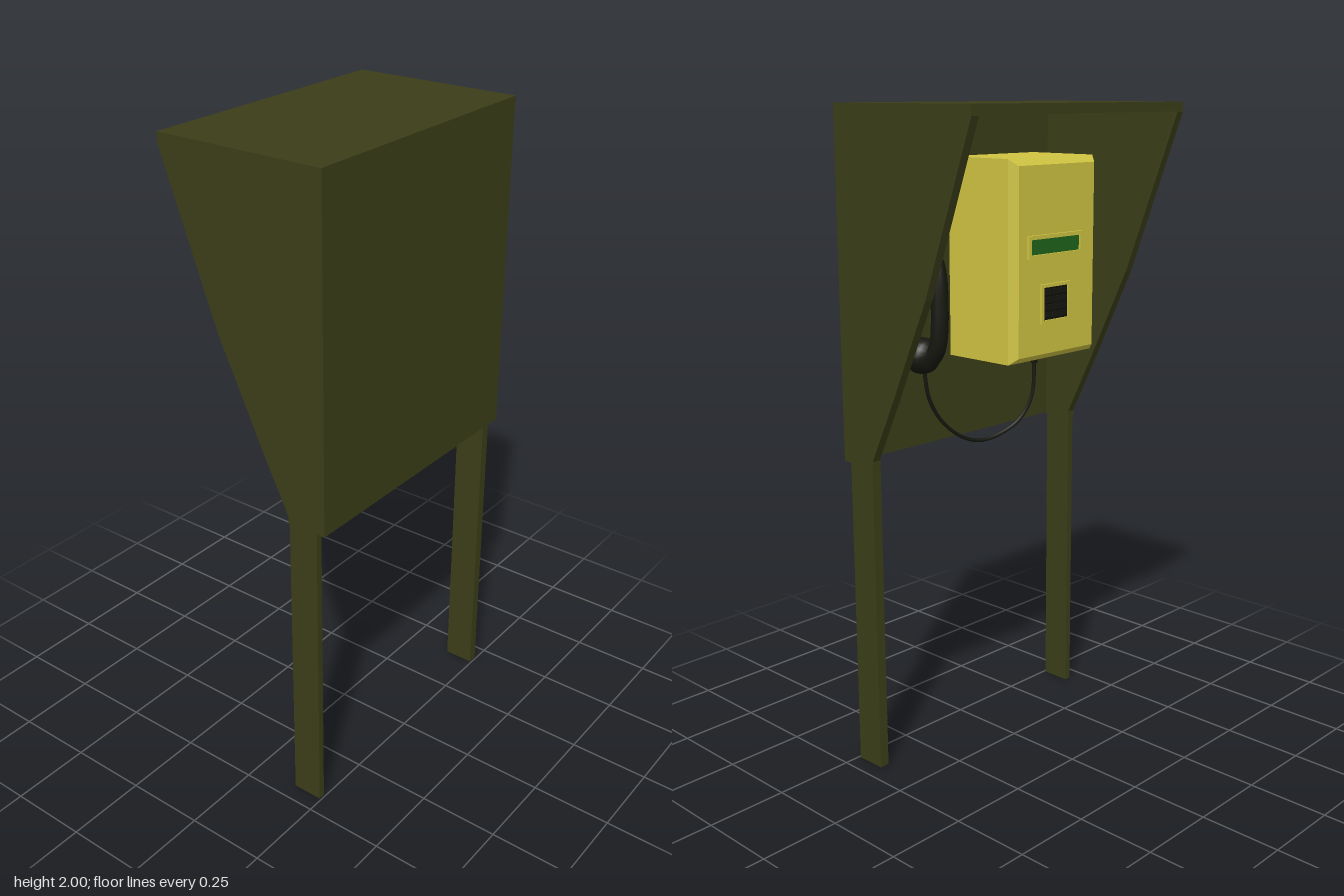
import * as THREE from 'three';

const mat = (color) => new THREE.MeshStandardMaterial({ color });
const green = mat(0x3b3e18), yellow = mat(0xcfc342), black = mat(0x16170f);
const screenGreen = mat(0x1f661c), dark = mat(0x0c0d08);

function add(parent, name, geometry, material) {
  const mesh = new THREE.Mesh(geometry, material);
  mesh.name = name;
  parent.add(mesh);
  return mesh;
}

// Box given by its limits on each axis
function box(parent, name, material, [x0, x1], [y0, y1], [z0, z1]) {
  const g = new THREE.BoxGeometry(x1 - x0, y1 - y0, z1 - z0);
  g.translate((x0 + x1) / 2, (y0 + y1) / 2, (z0 + z1) / 2);
  return add(parent, name, g, material);
}

// Rectangular bezel with an opening, standing on the phone face
function bezel(parent, name, [x0, x1], [y0, y1], rim, [z0, z1]) {
  const loop = (a, b, c, d) => [[a, c], [b, c], [b, d], [a, d]].map((p) => new THREE.Vector2(...p));
  const shape = new THREE.Shape(loop(x0, x1, y0, y1));
  shape.holes.push(new THREE.Path(loop(x0 + rim, x1 - rim, y0 + rim, y1 - rim)));
  const g = new THREE.ExtrudeGeometry(shape, { depth: z1 - z0, bevelEnabled: false });
  g.translate(0, 0, z0);
  return add(parent, name, g, yellow);
}

function makeBooth() {
  const booth = new THREE.Group();
  booth.name = 'booth';
  // Side panels, drawn as (z, y) and swept across x
  const profile = [[0.272, 0.965], [0.272, 2], [-0.272, 2], [-0.272, 1.97],
    [-0.09, 1.48], [0.05, 1.18], [0.145, 0.985], [0.145, 0.965]];
  const shape = new THREE.Shape(profile.map((p) => new THREE.Vector2(...p)));
  for (const [name, x] of [['leftPanel', 0.447], ['rightPanel', -0.42]]) {
    const g = new THREE.ExtrudeGeometry(shape, { depth: 0.027, bevelEnabled: false });
    g.rotateY(-Math.PI / 2);
    g.translate(x, 0, 0);
    add(booth, name, g, green);
  }
  box(booth, 'backPanel', green, [-0.42, 0.42], [0.965, 2], [0.245, 0.272]);
  box(booth, 'roof', green, [-0.42, 0.42], [1.972, 2], [-0.272, 0.245]);
  box(booth, 'leftLeg', green, [0.415, 0.446], [0, 1], [0.148, 0.244]);
  box(booth, 'rightLeg', green, [-0.446, -0.425], [0, 1], [0.148, 0.244]);
  return booth;
}

function makePhone() {
  const phone = new THREE.Group();
  phone.name = 'phone';
  // Housing: a box whose front edges are chamfered
  const w = 0.38, h = 0.61, d = 0.273, chamfer = 0.02;
  let g = new THREE.BoxGeometry(w, h, d, 1, 1, 2);
  const p = g.attributes.position;
  for (let i = 0; i < p.count; i++) {
    const z = p.getZ(i);
    if (z < -0.01) {
      p.setX(i, p.getX(i) - Math.sign(p.getX(i)) * chamfer);
      p.setY(i, p.getY(i) - Math.sign(p.getY(i)) * chamfer);
    } else if (z < 0.01) p.setZ(i, -d / 2 + 0.025);
  }
  g = g.toNonIndexed();
  g.computeVertexNormals();
  g.translate(-0.16, 1.535, 0.1085);
  add(phone, 'housing', g, yellow);

  // Display and keypad
  bezel(phone, 'displayBezel', [-0.27, -0.025], [1.545, 1.615], 0.012, [-0.038, -0.027]);
  box(phone, 'display', screenGreen, [-0.26, -0.035], [1.555, 1.605], [-0.031, -0.02]);
  bezel(phone, 'keypadBezel', [-0.215, -0.085], [1.345, 1.465], 0.01, [-0.036, -0.027]);
  box(phone, 'keypad', dark, [-0.207, -0.093], [1.353, 1.457], [-0.031, -0.02]);
  for (let row = 0; row < 4; row++) {
    for (let col = 0; col < 3; col++) {
      const x = -0.183 + col * 0.033, y = 1.37 + row * 0.0235;
      box(phone, 'key', black, [x - 0.013, x + 0.013], [y - 0.009, y + 0.009], [-0.036, -0.03]);
    }
  }

  // Cradle beside the housing
  box(phone, 'cradle', yellow, [0.14, 0.3], [1.49, 1.65], [0.19, 0.246]);
  return phone;
}

function makeHandset() {
  const handset = new THREE.Group();
  handset.name = 'handset';
  const x = 0.22, yTop = 1.57, yBottom = 1.265;
  // Bowed grip
  const path = [[yTop + 0.015, 0.14], [yTop - 0.03, 0.105], [1.4175, 0.092],
    [yBottom + 0.03, 0.105], [yBottom - 0.015, 0.14]];
  const curve = new THREE.CatmullRomCurve3(path.map(([y, z]) => new THREE.Vector3(x, y, z)));
  add(handset, 'grip', new THREE.TubeGeometry(curve, 20, 0.027, 12), black);
  // Earpiece and mouthpiece, opening towards the wall
  const rim = [[0, 0], [0.03, 0.002], [0.048, 0.018], [0.055, 0.04], [0.055, 0.062], [0.045, 0.072], [0, 0.072]];
  for (const [name, y] of [['earpiece', yTop], ['mouthpiece', yBottom]]) {
    const g = new THREE.LatheGeometry(rim.map((q) => new THREE.Vector2(...q)), 20);
    g.rotateX(Math.PI / 2);
    g.translate(x, y, 0.122);
    add(handset, name, g, black);
  }
  // Hanging cord and its plug under the housing
  const cord = [[0.22, 1.23, 0.165], [0.2, 1.13, 0.165], [0.154, 1.05, 0.155], [0.08, 0.99, 0.135],
    [0.006, 0.975, 0.115], [-0.097, 1.02, 0.078], [-0.14, 1.1, 0.056], [-0.15, 1.235, 0.055]];
  const line = new THREE.CatmullRomCurve3(cord.map((q) => new THREE.Vector3(...q)));
  add(handset, 'cord', new THREE.TubeGeometry(line, 40, 0.006, 8), black);
  const plug = new THREE.CylinderGeometry(0.014, 0.01, 0.03, 12);
  plug.translate(-0.15, 1.219, 0.055);
  add(handset, 'cordPlug', plug, black);
  return handset;
}

export function createModel() {
  const model = new THREE.Group();
  model.name = 'telephoneBooth';
  model.add(makeBooth(), makePhone(), makeHandset());
  return model;
}
